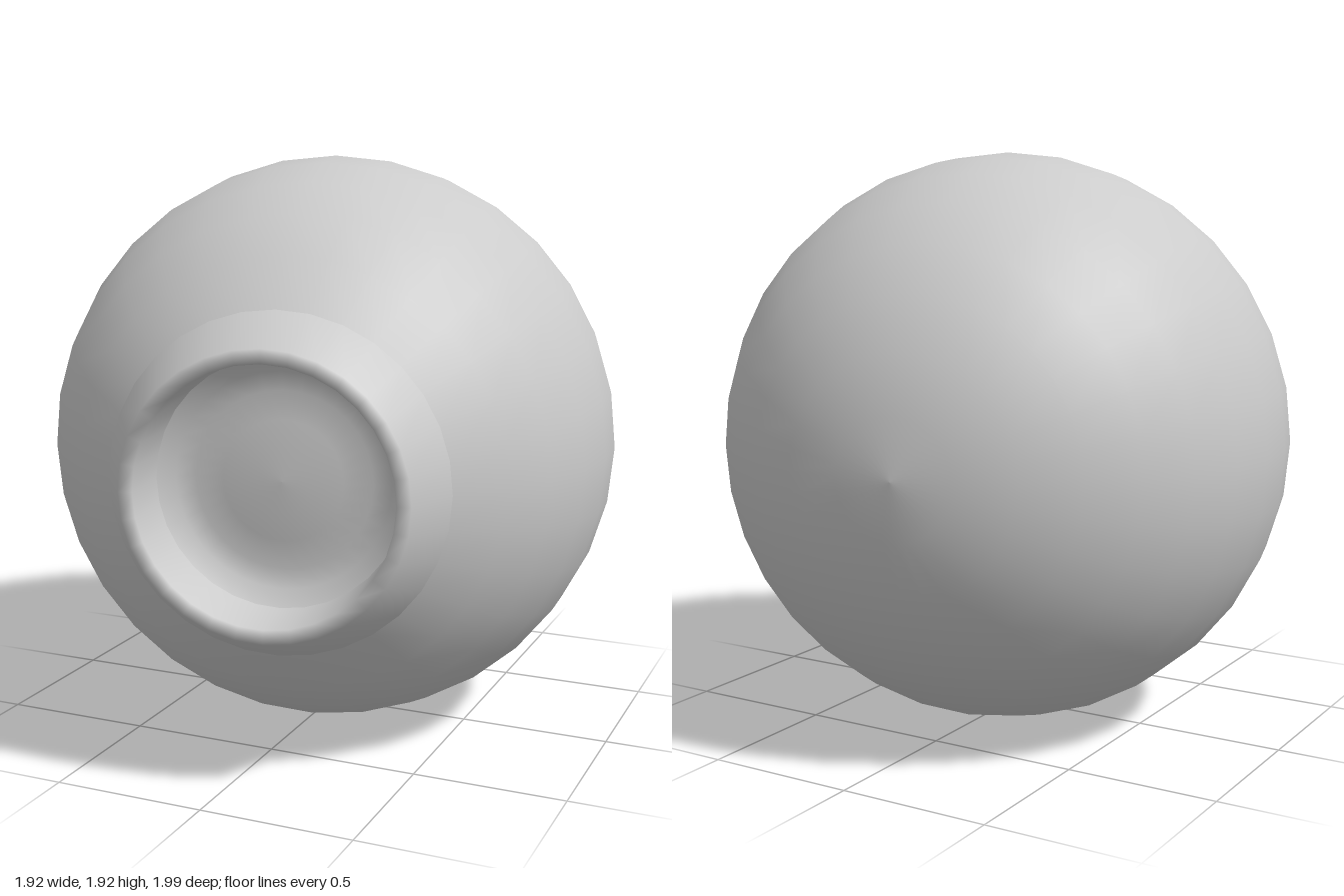
import * as THREE from 'three';

const SEGMENTS = 32;
const RADIUS = 0.96;

export function createModel() {
  const model = new THREE.Group();
  model.name = 'eyeball';
  const material = new THREE.MeshStandardMaterial({ color: 0xcccccc });

  // Every part is turned about one axis: profile points are [radius, distance along axis]
  const turned = (name, profile) => {
    const points = profile.map(([r, d]) => new THREE.Vector2(r, d));
    const geometry = new THREE.LatheGeometry(points, SEGMENTS);
    geometry.rotateX(Math.PI / 2);
    const mesh = new THREE.Mesh(geometry, material);
    mesh.name = name;
    model.add(mesh);
  };

  // Ball, from the back pole to the foot of the collar
  const ball = [];
  for (let i = 16; i >= 3; i--) {
    const a = (i * Math.PI) / 16;
    ball.push([i === 16 ? 0 : RADIUS * Math.sin(a), RADIUS * Math.cos(a)]);
  }
  turned('ball', ball);

  // Tapered collar, its rim and the wall of the opening
  turned('collar', [ball[ball.length - 1], [0.442, 0.969], [0.397, 0.967], [0.39, 0.77]]);

  // Sunken floor: a sloping edge around a slightly domed centre
  turned('socketFloor', [[0.39, 0.77], [0.34, 0.733], [0.28, 0.715], [0.19, 0.725], [0.1, 0.735], [0, 0.739]]);

  // Collar faces the front, turned slightly to the left
  model.rotation.y = 0.18;
  model.position.set(0, RADIUS, -0.04);
  const root = new THREE.Group();
  root.add(model);
  return root;
}
